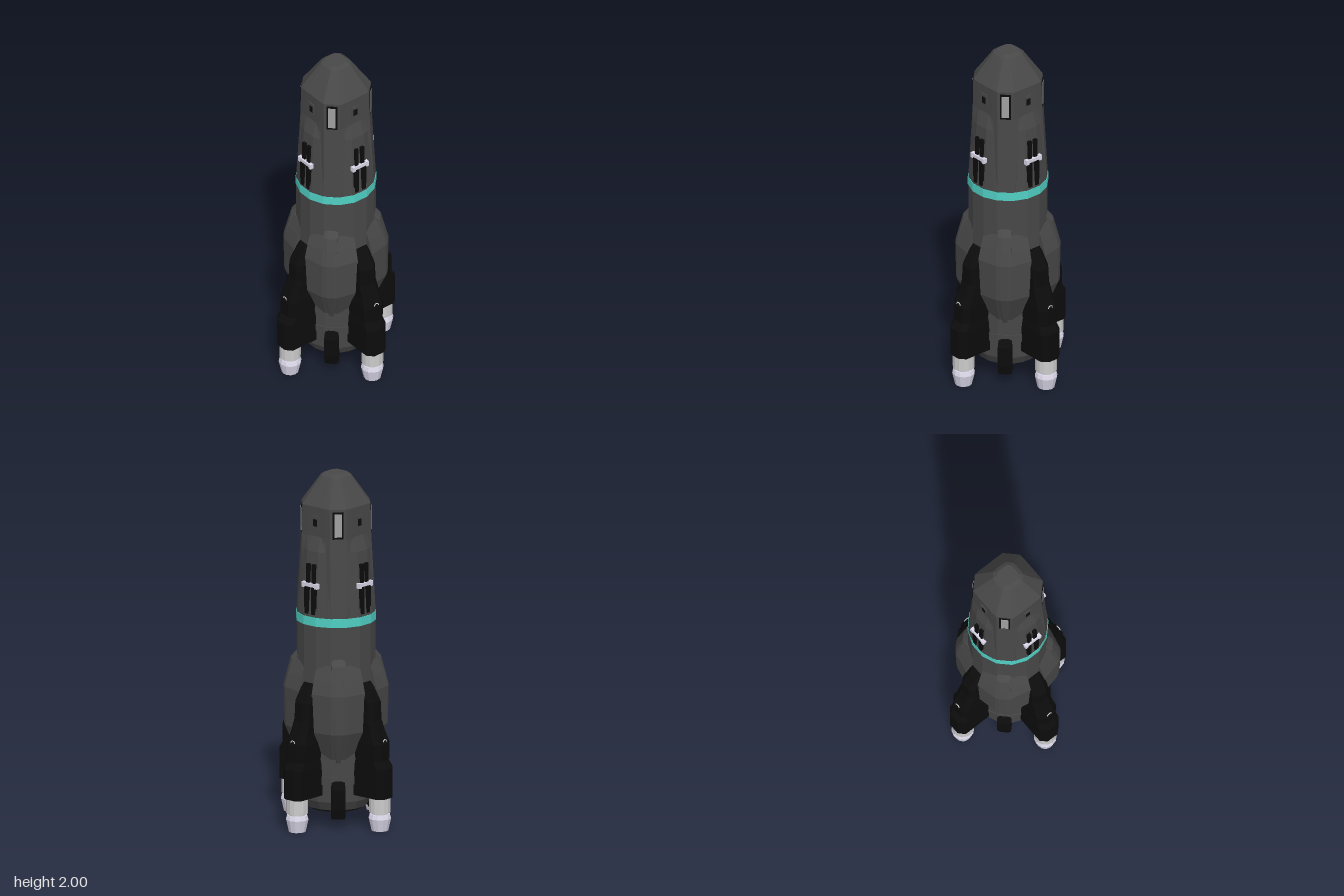
import * as THREE from 'three';

const mat = (color) => new THREE.MeshStandardMaterial({ color, flatShading: true });
const HULL = mat(0x484848), BLACK = mat(0x0c0c0c), METAL = mat(0xcccccc);
const WHITE = mat(0xdcd8ea), TEAL = mat(0x50d0c4), GLASS = mat(0xa0a0a0);

// Closed solid through cross-sections, listed from bottom to top: { y, pts: [[x, z], ...] }
function loft(name, sections, material) {
  const pos = [];
  const put = (...ps) => ps.forEach((p) => pos.push(...p));
  const rings = sections.map(({ y, pts }) => pts.map(([x, z]) => [x, y, z]));
  const n = rings[0].length;
  const centre = (r) => [0, 1, 2].map((k) => r.reduce((s, p) => s + p[k], 0) / n);
  const low = rings[0], high = rings[rings.length - 1];
  const cl = centre(low), ch = centre(high);
  for (let i = 0; i < n; i++) {
    const j = (i + 1) % n;
    for (let s = 0; s < rings.length - 1; s++) {
      const a = rings[s][i], b = rings[s][j], c = rings[s + 1][j], d = rings[s + 1][i];
      put(a, d, c, a, c, b);
    }
    put(ch, high[j], high[i], cl, low[i], low[j]);
  }
  const g = new THREE.BufferGeometry();
  g.setAttribute('position', new THREE.Float32BufferAttribute(pos, 3));
  g.computeVertexNormals();
  const m = new THREE.Mesh(g, material);
  m.name = name;
  return m;
}

function part(name, geometry, material, x = 0, y = 0, z = 0) {
  const m = new THREE.Mesh(geometry, material);
  m.name = name;
  m.position.set(x, y, z);
  return m;
}
const box = (name, w, h, d, material, x, y, z) =>
  part(name, new THREE.BoxGeometry(w, h, d), material, x, y, z);

// Sixteen-sided hull section: two points per eighth, repeated round four quadrants
function hullSection(y, h, a, p, q) {
  const pts = [];
  for (let k = 0; k < 4; k++) {
    for (const [x, z] of [[h, a], [p, q], [q, p], [a, h]]) {
      const c = Math.round(Math.cos(k * Math.PI / 2)), s = Math.round(Math.sin(k * Math.PI / 2));
      pts.push([x * c - z * s, x * s + z * c]);
    }
  }
  return { y, pts };
}
const round = (y, r) => hullSection(y, r * 0.981, r * 0.195, r * 0.831, r * 0.556);

// Section of a block facing +z, with chamfered outer corners
const blockSection = (y, w, inner, outer, cut = 0.03) => ({
  y,
  pts: [[w, inner], [w, outer - cut], [w * 0.5, outer], [-w * 0.5, outer], [-w, outer - cut], [-w, inner]],
});

// Armour section filling the corner between two pods
function armourSection(y, k) {
  const outer = [[0.26, 0.05], [0.235, 0.17], [0.17, 0.235], [0.05, 0.26]].map(([x, z]) => [x * k, z * k]);
  return { y, pts: [...outer, [0.04, 0.14], [0.14, 0.04]] };
}

function makePod() {
  const g = new THREE.Group();
  g.name = 'enginePod';
  g.add(loft('podBody', [
    blockSection(0.19, 0.067, 0.19, 0.39), blockSection(0.36, 0.067, 0.19, 0.39),
    blockSection(0.4, 0.062, 0.16, 0.362), blockSection(0.5, 0.062, 0.15, 0.362),
    blockSection(0.63, 0.058, 0.15, 0.312), blockSection(0.73, 0.055, 0.15, 0.308),
    blockSection(0.8, 0.055, 0.15, 0.262), blockSection(0.83, 0.055, 0.15, 0.235),
  ], BLACK));
  // raised collar round the waist of the pod
  g.add(loft('podCollar', [
    blockSection(0.41, 0.067, 0.2, 0.366), blockSection(0.5, 0.067, 0.2, 0.366),
    blockSection(0.55, 0.06, 0.2, 0.345),
  ], BLACK));
  const loop = part('podLoop', new THREE.TorusGeometry(0.014, 0.003, 5, 10, Math.PI), METAL, 0, 0.51, 0.362);
  g.add(loop);
  // engine neck and nozzle
  g.add(part('engineNeck', new THREE.CylinderGeometry(0.061, 0.061, 0.09, 14), METAL, 0, 0.15, 0.325));
  g.add(part('engineJoint', new THREE.CylinderGeometry(0.048, 0.048, 0.03, 14), METAL, 0, 0.1, 0.325));
  const bell = [[0, 0.05], [0.035, 0.05], [0.043, 0.003], [0.048, 0], [0.064, 0.07], [0.057, 0.095], [0, 0.095]];
  g.add(part('engineNozzle', new THREE.LatheGeometry(bell.map(([x, y]) => new THREE.Vector2(x, y)), 12),
    WHITE, 0, 0, 0.325));
  return g;
}

function makeUpperSide() {
  const g = new THREE.Group();
  g.name = 'upperSide';
  g.add(loft('sidePanel', [
    blockSection(1.215, 0.11, 0.12, 0.215, 0.02), blockSection(1.58, 0.08, 0.12, 0.195, 0.015),
    blockSection(1.67, 0.07, 0.12, 0.168, 0.005),
  ], HULL));
  // twin launch tubes with a clamp bar
  for (const s of [-1, 1]) {
    g.add(box('tube', 0.022, 0.15, 0.03, BLACK, s * 0.02, 1.435, 0.2));
    g.add(box('tubeBase', 0.03, 0.12, 0.035, BLACK, s * 0.027, 1.32, 0.204));
    g.add(box('tubeFoot', 0.024, 0.04, 0.03, BLACK, s * 0.024, 1.245, 0.207));
    g.add(box('clampEnd', 0.018, 0.03, 0.04, WHITE, s * 0.047, 1.39, 0.206));
  }
  g.add(box('clampBar', 0.1, 0.02, 0.036, WHITE, 0, 1.392, 0.206));
  // small hatch
  g.add(box('hatchFrame', 0.046, 0.066, 0.012, HULL, 0, 1.745, 0.17));
  g.add(box('hatch', 0.028, 0.04, 0.012, BLACK, 0, 1.74, 0.171));
  return g;
}

function makeDiagonal() {
  const g = new THREE.Group();
  g.name = 'diagonalParts';
  // window in the nose
  g.add(box('windowFrame', 0.062, 0.156, 0.012, BLACK, 0, 1.738, 0.188));
  g.add(box('window', 0.042, 0.132, 0.012, GLASS, 0, 1.738, 0.191));
  // rib down the armour
  g.add(loft('armourRib', [
    blockSection(0.38, 0.012, 0.15, 0.212, 0.004), blockSection(0.56, 0.04, 0.15, 0.287, 0.006),
    blockSection(0.78, 0.045, 0.15, 0.292, 0.006), blockSection(0.86, 0.038, 0.15, 0.272, 0.006),
    blockSection(0.94, 0.038, 0.15, 0.25, 0.006), blockSection(0.98, 0.038, 0.15, 0.215, 0.006),
  ], HULL));
  // tail fin block
  g.add(loft('tailFin', [
    blockSection(0.06, 0.038, 0.19, 0.222, 0.006), blockSection(0.12, 0.04, 0.16, 0.236, 0.006),
    blockSection(0.23, 0.04, 0.16, 0.236, 0.006), blockSection(0.28, 0.036, 0.16, 0.205, 0.006),
  ], BLACK));
  return g;
}

export function createModel() {
  const model = new THREE.Group();
  model.name = 'rocket';

  // hull, from tail to nose
  model.add(loft('lowerHull', [
    round(0.1, 0.175), round(0.15, 0.2), round(0.29, 0.208), round(0.4, 0.212),
    round(0.6, 0.222), round(1.16, 0.222),
  ], HULL));
  model.add(loft('tailRing', [round(0.25, 0.21), round(0.3, 0.213)], HULL));
  model.add(part('tailPlate', new THREE.CylinderGeometry(0.15, 0.15, 0.02, 16), BLACK, 0, 0.095, 0));
  model.add(loft('band', [round(1.16, 0.225), round(1.21, 0.225)], TEAL));
  model.add(loft('noseHull', [
    round(1.21, 0.222),
    hullSection(1.66, 0.17, 0.06, 0.168, 0.105),
    hullSection(1.83, 0.17, 0.06, 0.168, 0.1),
    hullSection(1.985, 0.075, 0.02, 0.072, 0.045),
    hullSection(2.0, 0.052, 0.015, 0.05, 0.035),
  ], HULL));

  // four equal sides and four equal corners
  for (let k = 0; k < 4; k++) {
    const turn = k * Math.PI / 2;
    const armour = loft('armour', [
      armourSection(0.4, 0.74), armourSection(0.56, 0.98), armourSection(0.78, 1),
      armourSection(0.86, 0.91), armourSection(0.94, 0.8),
    ], HULL);
    const sides = [makePod(), makeUpperSide(), armour];
    sides.forEach((p) => { p.rotation.y = turn; });
    const diagonal = makeDiagonal();
    diagonal.rotation.y = turn + Math.PI / 4;
    model.add(...sides, diagonal);
  }
  return model;
}
